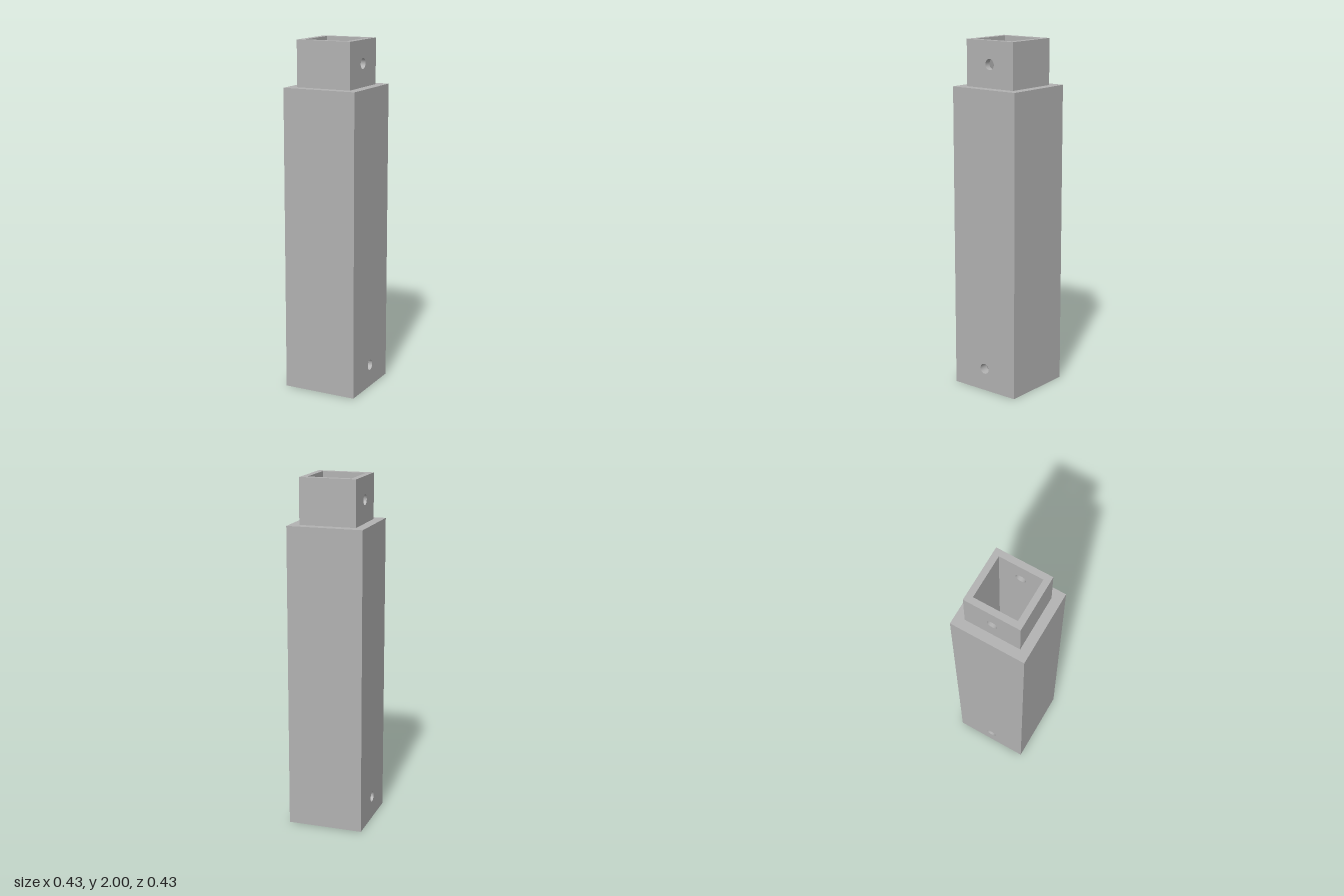
import * as THREE from 'three';
import { mergeGeometries } from 'three/addons/utils/BufferGeometryUtils.js';

const OUTER = 0.217, SOCKET = 0.163, PLUG = 0.162, BORE = 0.126;
const SHOULDER = 1.74, TOP = 2, SOCKET_DEPTH = 0.28;
const PIN_R = 0.03, LOW_PIN = 0.13, HIGH_PIN = 1.87;

function rect(half, y0, y1) {
  return new THREE.Shape([
    new THREE.Vector2(-half, y0), new THREE.Vector2(half, y0),
    new THREE.Vector2(half, y1), new THREE.Vector2(-half, y1),
  ]);
}

// Four walls of a square tube surface; pinY pierces the two x walls
function walls(half, y0, y1, inward, pinY) {
  const parts = [];
  for (let k = 0; k < 4; k++) {
    const shape = rect(half, y0, y1);
    if (pinY !== undefined && k % 2 === 1) {
      shape.holes.push(new THREE.Path().absarc(0, pinY, PIN_R, 0, Math.PI * 2, true));
    }
    parts.push(new THREE.ShapeGeometry(shape, 32)
      .translate(0, 0, inward ? -half : half)
      .rotateY(k * Math.PI / 2));
  }
  return mergeGeometries(parts);
}

// Flat square ring facing up or down
function ring(outer, inner, y, up) {
  const shape = rect(outer, -outer, outer);
  shape.holes.push(rect(inner, -inner, inner));
  return new THREE.ShapeGeometry(shape)
    .rotateX(up ? -Math.PI / 2 : Math.PI / 2)
    .translate(0, y, 0);
}

// Lining of the pin hole through both x walls
function pinLining(inner, outer, y) {
  return mergeGeometries([-1, 1].map((side) =>
    new THREE.CylinderGeometry(PIN_R, PIN_R, outer - inner, 32, 1, true)
      .rotateZ(Math.PI / 2)
      .translate(side * (inner + outer) / 2, y, 0)));
}

export function createModel() {
  const group = new THREE.Group();
  const grey = new THREE.MeshStandardMaterial({ color: 0xb2b2b2, side: THREE.DoubleSide });
  grey.name = 'grey';
  const add = (name, geometry) => {
    const mesh = new THREE.Mesh(geometry, grey);
    mesh.name = name;
    group.add(mesh);
  };

  // Main post
  add('postWalls', walls(OUTER, 0, SHOULDER, false, LOW_PIN));
  add('postFoot', ring(OUTER, SOCKET, 0, false));
  add('shoulder', ring(OUTER, PLUG, SHOULDER, true));

  // Socket in the lower end
  add('socketWalls', walls(SOCKET, 0, SOCKET_DEPTH, true, LOW_PIN));
  add('socketStop', ring(SOCKET, BORE, SOCKET_DEPTH, false));
  add('lowerPinHoles', pinLining(SOCKET, OUTER, LOW_PIN));

  // Plug on the upper end, with the bore running through
  add('plugWalls', walls(PLUG, SHOULDER, TOP, false, HIGH_PIN));
  add('plugRim', ring(PLUG, BORE, TOP, true));
  add('boreWalls', walls(BORE, SOCKET_DEPTH, TOP, true, HIGH_PIN));
  add('upperPinHoles', pinLining(BORE, PLUG, HIGH_PIN));

  return group;
}
